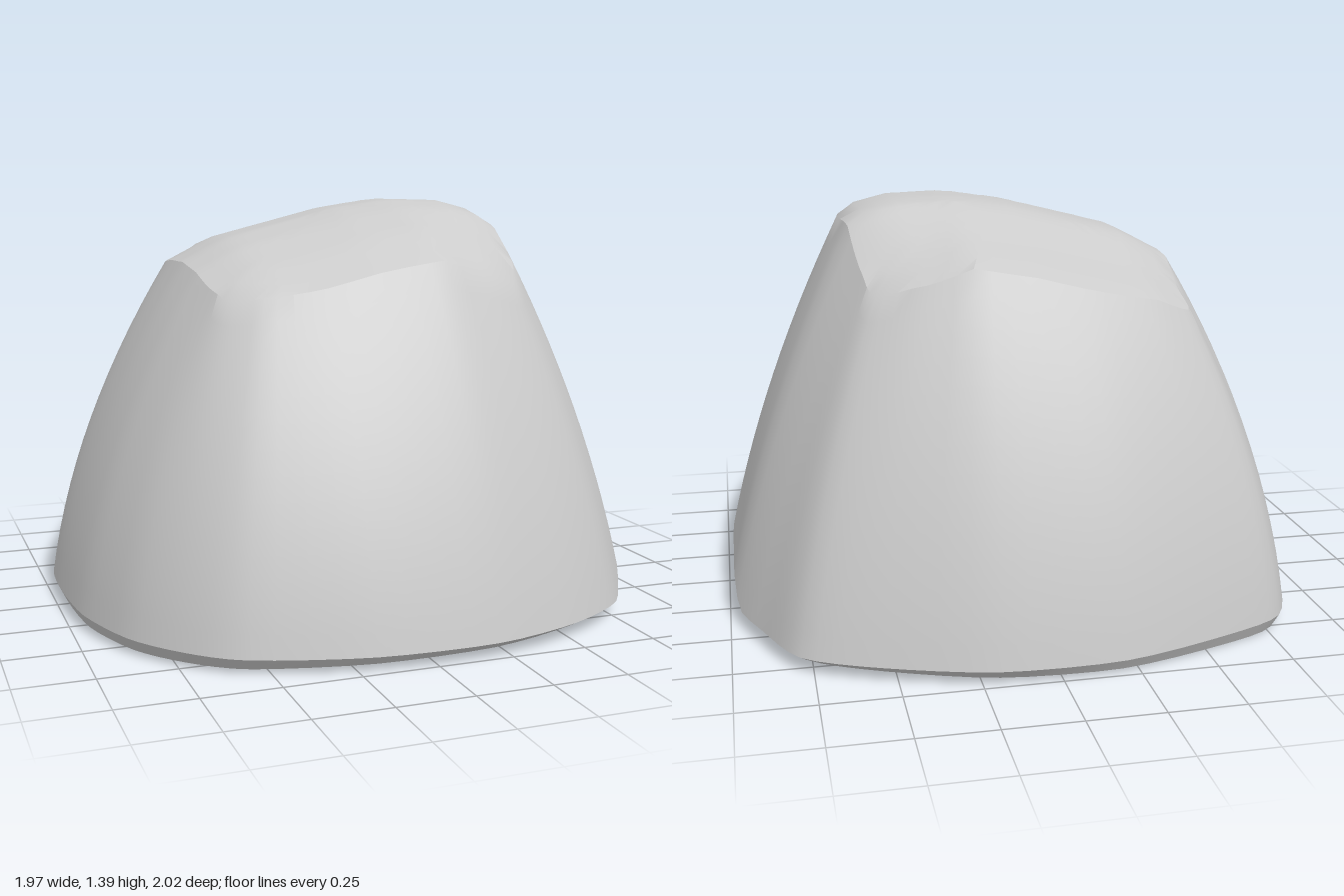
import * as THREE from 'three';
import { toCreasedNormals } from 'three/addons/utils/BufferGeometryUtils.js';

// Matching outline points: foot x, foot z, shoulder x, shoulder z
const OUTLINE = [
  [0.98, 0, 0.57, 0], [0.97, 0.3, 0.55, 0.22], [0.9, 0.52, 0.54, 0.36], [0.76, 0.76, 0.48, 0.5],
  [0.52, 0.91, 0.35, 0.54], [0.2, 1, 0.15, 0.56], [-0.2, 0.99, -0.2, 0.56], [-0.57, 0.885, -0.4, 0.52],
  [-0.74, 0.75, -0.5, 0.45], [-0.87, 0.57, -0.53, 0.34], [-0.96, 0.3, -0.54, 0.2], [-0.985, 0, -0.55, 0],
  [-0.975, -0.25, -0.55, -0.2], [-0.9, -0.53, -0.53, -0.4], [-0.79, -0.78, -0.52, -0.54],
  [-0.57, -0.89, -0.36, -0.59], [-0.2, -1, -0.15, -0.61], [0.2, -1, 0.15, -0.6], [0.55, -0.9, 0.35, -0.57],
  [0.79, -0.78, 0.5, -0.5], [0.9, -0.56, 0.53, -0.4], [0.975, -0.35, 0.55, -0.26],
];
// Crown height profiles across x and z
const CROWN_X = [[-0.55, 1.18], [-0.4, 1.26], [-0.2, 1.31], [0, 1.36], [0.2, 1.39], [0.4, 1.385], [0.53, 1.35], [0.58, 1.3]];
const CROWN_Z = [[-0.62, 1.21], [-0.55, 1.24], [-0.38, 1.3], [-0.2, 1.38], [-0.1, 1.39], [0.05, 1.39], [0.2, 1.36], [0.4, 1.29], [0.56, 1.2]];

function sample(table, v) {
  let i = 0;
  while (i < table.length - 2 && v > table[i + 1][0]) i++;
  const [a, ya] = table[i], [b, yb] = table[i + 1];
  return ya + (yb - ya) * THREE.MathUtils.clamp((v - a) / (b - a), 0, 1);
}

// Rounded crown that falls away at the two +x corners
function crownHeight(x, z) {
  const corner = Math.max(0, x - 0.2) * Math.max(0, Math.abs(z) - 0.2);
  return sample(CROWN_X, x) + sample(CROWN_Z, z) - 1.39 - 1.1 * corner;
}

const groundHeight = (x, z) => 0.02 + 0.02 * x + 0.005 * z;

// Closed smooth loop through the outline points
function loop(ix, iz, count) {
  const curve = new THREE.CatmullRomCurve3(
    OUTLINE.map((p) => new THREE.Vector3(p[ix], 0, p[iz])), true, 'catmullrom', 0.4);
  return Array.from({ length: count }, (_, i) => curve.getPoint(i / count));
}

function boulderGeometry() {
  const N = OUTLINE.length * 4, WALL = 14, CAP = 10;
  const foot = loop(0, 1, N), shoulder = loop(2, 3, N);
  const rows = [];

  // Undercut along the +x foot
  const notch = foot.map(({ x, z }) => THREE.MathUtils.smoothstep(x, 0.78, 0.9)
    * THREE.MathUtils.smoothstep(z, -0.42, -0.25));

  // Flat underside, from its centre to its edge
  for (const s of [0, 0.5, 1]) {
    rows.push(foot.map((p, i) => {
      const k = s * (1 - 0.025 - 0.05 * notch[i]);
      return [p.x * k, groundHeight(p.x * k, p.z * k), p.z * k];
    }));
  }
  // Bulging walls, foot to shoulder
  for (let r = 0; r <= WALL; r++) {
    const u = r / WALL;
    rows.push(foot.map((p, i) => {
      const q = shoulder[i];
      const t = u - (0.5 - 0.12 * p.x) * u * (1 - u);
      const y0 = 0.05 + 0.08 * notch[i], y1 = crownHeight(q.x, q.z);
      return [p.x + (q.x - p.x) * t, y0 + (y1 - y0) * u, p.z + (q.z - p.z) * t];
    }));
  }
  // Crown, shoulder to centre
  for (let r = 1; r <= CAP; r++) {
    const s = 1 - r / CAP;
    rows.push(shoulder.map((q) => [q.x * s, crownHeight(q.x * s, q.z * s), q.z * s]));
  }

  const index = [];
  for (let r = 0; r < rows.length - 1; r++) {
    for (let i = 0; i < N; i++) {
      const j = (i + 1) % N;
      const a = r * N + i, b = r * N + j, c = a + N, d = b + N;
      if (r > 0) index.push(a, c, b);
      if (r < rows.length - 2) index.push(b, c, d);
    }
  }
  // The first and last rows meet at a point, so their triangles fan out
  const geometry = new THREE.BufferGeometry();
  geometry.setAttribute('position', new THREE.Float32BufferAttribute(rows.flat(2), 3));
  geometry.setIndex(index);
  return toCreasedNormals(geometry, 0.5);
}

export function createModel() {
  const group = new THREE.Group();
  group.name = 'rock';
  const boulder = new THREE.Mesh(boulderGeometry(), new THREE.MeshStandardMaterial({ color: 0xcccccc }));
  boulder.name = 'boulder';
  group.add(boulder);
  return group;
}
